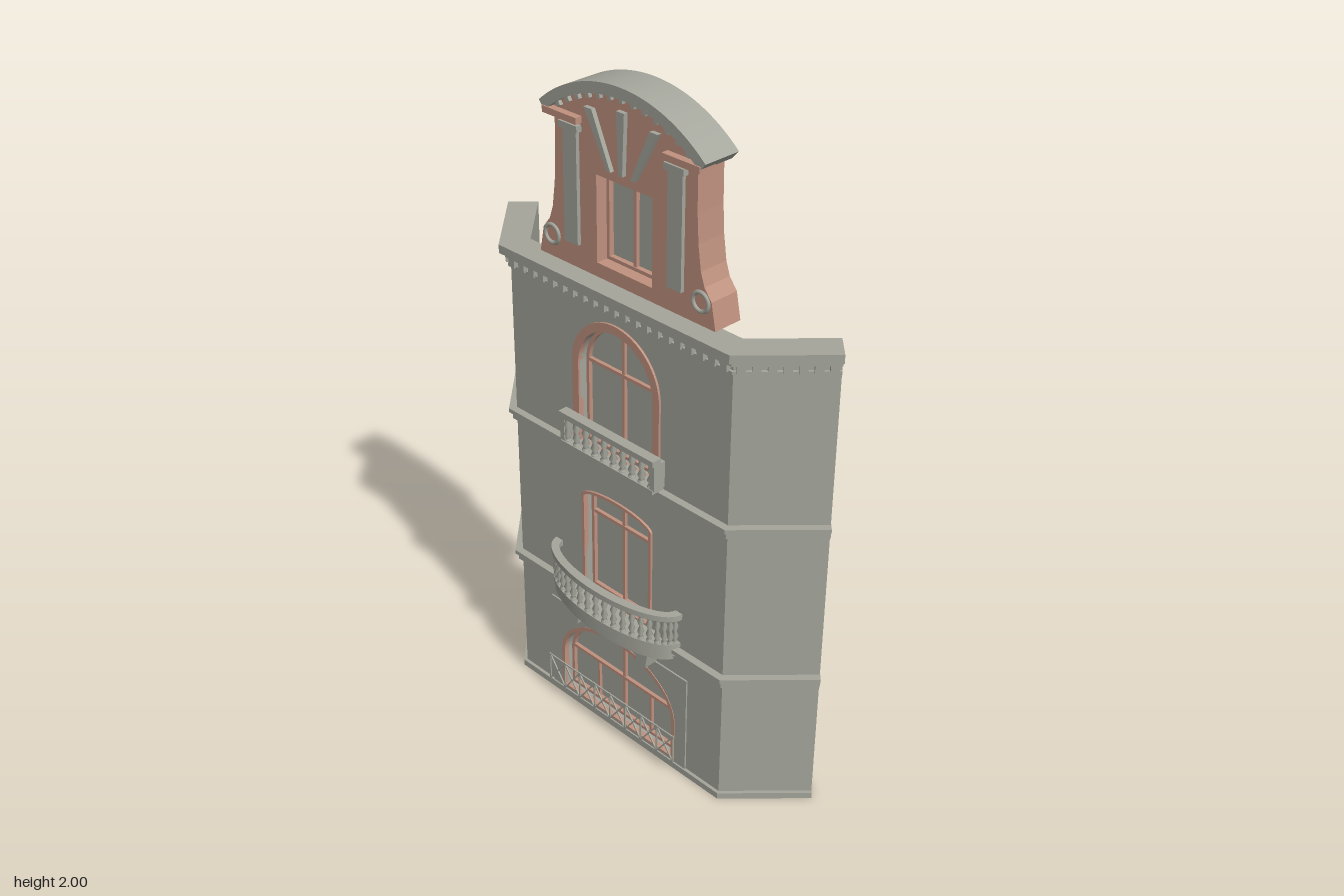
import * as THREE from 'three';

export function createModel() {
  const model = new THREE.Group();
  const stone = new THREE.MeshStandardMaterial({ color: 0xa4a59b });
  stone.name = 'grey stone';
  const brick = new THREE.MeshStandardMaterial({ color: 0xbf917f });
  brick.name = 'terracotta';

  const add = (name, geo, mat, x = 0, y = 0, z = 0, parent = model) => {
    const mesh = new THREE.Mesh(geo, mat);
    mesh.name = name;
    mesh.position.set(x, y, z);
    parent.add(mesh);
    return mesh;
  };
  // box given by its limits
  const block = (name, mat, x0, x1, y0, y1, z0, z1, parent = model) =>
    add(name, new THREE.BoxGeometry(x1 - x0, y1 - y0, z1 - z0), mat,
      (x0 + x1) / 2, (y0 + y1) / 2, (z0 + z1) / 2, parent);
  const poly = pts => new THREE.Shape(pts.map(p => new THREE.Vector2(p[0], p[1])));
  // upright plate, from z0 to z1
  const plate = (name, mat, shape, z0, z1, parent = model) =>
    add(name, new THREE.ExtrudeGeometry(shape, { depth: z1 - z0, bevelEnabled: false, curveSegments: 24 }),
      mat, 0, 0, z0, parent);
  // horizontal slab from a plan drawn as (x, -z)
  const slab = (name, mat, shape, y0, y1, parent = model) =>
    add(name, new THREE.ExtrudeGeometry(shape, { depth: y1 - y0, bevelEnabled: false, curveSegments: 32 })
      .rotateX(-Math.PI / 2), mat, 0, y0, 0, parent);
  const arch = (w, y0, spring, rise) => {
    const s = new THREE.Shape();
    s.moveTo(-w, y0);
    s.lineTo(w, y0);
    s.lineTo(w, spring);
    s.absellipse(0, spring, w, rise, 0, Math.PI, false);
    s.closePath();
    return s;
  };

  // front wall with three openings: half width, sill, spring line, rise, trim width, transom
  const openings = [
    { name: 'groundWindow', w: 0.225, y0: 0.03, spring: 0.165, rise: 0.155, t: 0.012, transom: 0.175 },
    { name: 'middleWindow', w: 0.128, y0: 0.455, spring: 0.775, rise: 0.027, t: 0.01, transom: 0.715 },
    { name: 'upperWindow', w: 0.14, y0: 0.945, spring: 1.195, rise: 0.14, t: 0.025, transom: 1.2 },
  ];
  const wall = poly([[-0.39, 0], [0.39, 0], [0.39, 1.43], [-0.39, 1.43]]);
  openings.forEach(o => wall.holes.push(arch(o.w, o.y0, o.spring, o.rise)));
  plate('frontWall', stone, wall, 0.01, 0.065);

  // angled side walls
  for (const s of [1, -1]) {
    slab(s > 0 ? 'leftWing' : 'rightWing', stone, poly([
      [0.39, -0.01], [0.39, -0.065], [0.41, -0.065], [0.593, 0.125], [0.555, 0.165],
    ].map(([x, y]) => [s * x, y])), 0, 1.43);
  }

  // glazing, trim and glazing bars
  for (const o of openings) {
    const g = new THREE.Group();
    g.name = o.name;
    model.add(g);
    plate('pane', stone, arch(o.w, o.y0, o.spring, o.rise), 0.01, 0.03, g);
    const trim = arch(o.w + o.t, o.y0, o.spring, o.rise + o.t);
    trim.holes.push(arch(o.w, o.y0 + 0.006, o.spring, o.rise));
    plate('trim', brick, trim, 0.055, 0.072, g);
    const sash = arch(o.w, o.y0, o.spring, o.rise);
    sash.holes.push(arch(o.w - 0.01, o.y0 + 0.01, o.spring, o.rise - 0.01));
    plate('sash', brick, sash, 0.03, 0.042, g);
    block('mullion', brick, -0.005, 0.005, o.y0, o.spring + o.rise, 0.03, 0.04, g);
    block('transom', brick, -o.w, o.w, o.transom - 0.005, o.transom + 0.005, 0.03, 0.041, g);
  }
  for (const x of [-0.11, 0.11]) block('lowerMullion', brick, x - 0.004, x + 0.004, 0.03, 0.175, 0.03, 0.04);

  // smooth surround of the ground window
  const surround = poly([[-0.28, 0.02], [0.28, 0.02], [0.28, 0.345], [-0.28, 0.345]]);
  surround.holes.push(arch(0.237, 0.03, 0.165, 0.167));
  plate('groundSurround', stone, surround, 0.06, 0.07);

  // bands that follow the whole plan, standing out by d
  const band = (name, y0, y1, d) => {
    const half = [[0.39, -0.01], [0.555, 0.165], [0.593 + 0.73 * d, 0.125 - 0.68 * d], [0.41 + 0.43 * d, -0.065 - d]];
    slab(name, stone, poly([...half, ...half.map(([x, y]) => [-x, y]).reverse()]), y0, y1);
  };
  band('plinth', 0, 0.02, 0.01);
  for (const y of [0.41, 0.905]) {
    band('stringCourse', y, y + 0.022, 0.012);
    band('stringCourseTop', y + 0.022, y + 0.035, 0.022);
  }
  band('corniceFillet', 1.388, 1.397, 0.008);
  band('corniceFrieze', 1.415, 1.43, 0.015);
  band('cornice', 1.43, 1.455, 0.03);

  // dentils under the cornice
  const dentilRow = (x0, z0, x1, z1, n) => {
    for (let i = 0; i < n; i++) {
      const k = (i + 0.5) / n;
      add('dentil', new THREE.BoxGeometry(0.022, 0.024, 0.03), stone, x0 + (x1 - x0) * k, 1.405, z0 + (z1 - z0) * k)
        .rotation.y = Math.atan2(z0 - z1, x1 - x0);
    }
  };
  dentilRow(-0.41, 0.065, 0.41, 0.065, 21);
  dentilRow(0.41, 0.065, 0.593, -0.125, 7);
  dentilRow(-0.593, -0.125, -0.41, 0.065, 7);

  // baluster turned with two swellings
  const baluster = (h, r) => new THREE.LatheGeometry(
    [[0.9, 0], [0.9, 0.08], [0.45, 0.12], [1, 0.3], [0.45, 0.5], [1, 0.7], [0.45, 0.88], [0.9, 0.92], [0.9, 1]]
      .map(([a, b]) => new THREE.Vector2(a * r, b * h)), 8);

  // straight upper balustrade
  const upper = new THREE.Group();
  upper.name = 'upperBalustrade';
  model.add(upper);
  block('rail', stone, -0.182, 0.182, 1.028, 1.045, 0.08, 0.11, upper);
  block('foot', stone, -0.178, 0.178, 0.94, 0.953, 0.065, 0.108, upper);
  for (let i = 0; i < 10; i++) add('baluster', baluster(0.077, 0.012), stone, -0.162 + i * 0.036, 0.952, 0.095, upper);
  for (const s of [-1, 1]) block('railReturn', stone, s * 0.174 - 0.008, s * 0.174 + 0.008, 0.95, 1.03, 0.065, 0.105, upper);

  // bowed balcony
  const balcony = new THREE.Group();
  balcony.name = 'bowedBalcony';
  model.add(balcony);
  const bow = (a, b) => {
    const s = new THREE.Shape();
    s.absellipse(0, -0.065, a, b, Math.PI, Math.PI * 2, false);
    return s;
  };
  const bowRing = (a, b, t) => {
    const s = bow(a, b);
    s.absellipse(0, -0.065, a - t, b - t, Math.PI * 2, Math.PI, true);
    s.closePath();
    return s;
  };
  slab('underside', stone, bow(0.23, 0.08), 0.4, 0.42, balcony);
  slab('floor', stone, bow(0.245, 0.092), 0.42, 0.45, balcony);
  slab('footRail', stone, bowRing(0.25, 0.096, 0.024), 0.45, 0.465, balcony);
  slab('handRail', stone, bowRing(0.255, 0.1, 0.026), 0.548, 0.566, balcony);
  for (let i = 0; i < 21; i++) {
    const a = Math.PI * (0.04 + 0.92 * i / 20);
    add('baluster', baluster(0.085, 0.01), stone, 0.241 * Math.cos(a), 0.464, 0.065 + 0.086 * Math.sin(a), balcony);
  }
  for (const x of [-0.14, 0.14]) {
    plate('bracket', stone, poly([[x - 0.017, 0.345], [x + 0.017, 0.345], [x + 0.027, 0.41], [x - 0.027, 0.41]]),
      0.06, 0.11, balcony);
  }

  // thin crossed railing
  const railing = new THREE.Group();
  railing.name = 'crossedRailing';
  model.add(railing);
  const bar = (x0, y0, x1, y1) => {
    add('bar', new THREE.BoxGeometry(Math.hypot(x1 - x0, y1 - y0), 0.004, 0.004), stone,
      (x0 + x1) / 2, (y0 + y1) / 2, 0.1, railing).rotation.z = Math.atan2(y1 - y0, x1 - x0);
  };
  for (const y of [0.055, 0.148]) bar(-0.26, y, 0.26, y);
  for (let i = 0; i <= 8; i++) {
    const x = -0.26 + i * 0.065;
    bar(x, 0.05, x, 0.152);
    if (i < 8) {
      bar(x, 0.055, x + 0.065, 0.148);
      bar(x, 0.148, x + 0.065, 0.055);
    }
  }

  // gable with its window opening
  const gable = new THREE.Group();
  gable.name = 'gable';
  model.add(gable);
  const R = 0.437, cy = 2 - R, a0 = Math.asin(0.29 / R);
  const side = [[0.32, 1.455], [0.305, 1.53], [0.28, 1.562], [0.267, 1.6], [0.257, 1.67], [0.252, 1.75], [0.25, 1.895]];
  const body = new THREE.Shape();
  side.forEach(([x, y], i) => (i ? body.lineTo(x, y) : body.moveTo(x, y)));
  body.absarc(0, cy, R - 0.02, Math.PI / 2 - 0.6, Math.PI / 2 + 0.6, false);
  [...side].reverse().forEach(([x, y]) => body.lineTo(-x, y));
  const rect = (w, y0, y1) => poly([[-w, y0], [w, y0], [w, y1], [-w, y1]]);
  body.holes.push(rect(0.1, 1.495, 1.74));
  plate('gableBody', brick, body, -0.055, 0.035, gable);
  block('gablePane', stone, -0.1, 0.1, 1.495, 1.74, -0.045, -0.015, gable);
  const frame = rect(0.1, 1.495, 1.74);
  frame.holes.push(rect(0.09, 1.505, 1.73));
  plate('gableSash', brick, frame, -0.015, 0, gable);
  block('gableMullion', brick, -0.005, 0.005, 1.495, 1.74, -0.015, -0.003, gable);

  // curved crown and the small blocks beneath it
  const crown = new THREE.Shape();
  crown.absarc(0, cy, R, Math.PI / 2 - a0, Math.PI / 2 + a0, false);
  crown.absarc(0, cy, R - 0.03, Math.PI / 2 + a0, Math.PI / 2 - a0, true);
  crown.closePath();
  plate('crown', stone, crown, -0.062, 0.052, gable);
  for (let i = 0; i < 13; i++) {
    const a = -0.6 + i * 0.1;
    add('crownBlock', new THREE.BoxGeometry(0.013, 0.014, 0.02), stone,
      Math.sin(a) * (R - 0.036), cy + Math.cos(a) * (R - 0.036), 0.036, gable).rotation.z = -a;
  }

  // fanned keystones above the window
  for (const [xt, yt, xb] of [[-0.115, 1.915, -0.042], [0, 1.935, 0], [0.115, 1.915, 0.042]]) {
    plate('keystone', stone, poly([[xb - 0.007, 1.768], [xb + 0.007, 1.768], [xt + 0.014, yt], [xt - 0.014, yt]]),
      0.03, 0.048, gable);
  }

  // pilasters, capitals and scroll rings
  for (const s of [-1, 1]) {
    const x = s * 0.186;
    block('pilaster', stone, x - 0.025, x + 0.025, 1.525, 1.84, 0.03, 0.046, gable);
    block('capital', stone, x - 0.034, x + 0.034, 1.838, 1.856, 0.03, 0.052, gable);
    block('entablature', brick, s * 0.2125 - 0.0625, s * 0.2125 + 0.0625, 1.862, 1.88, 0.0, 0.056, gable);
    add('scrollRing', new THREE.TorusGeometry(0.026, 0.006, 8, 24), stone, s * 0.27, 1.52, 0.036, gable);
  }
  return model;
}
